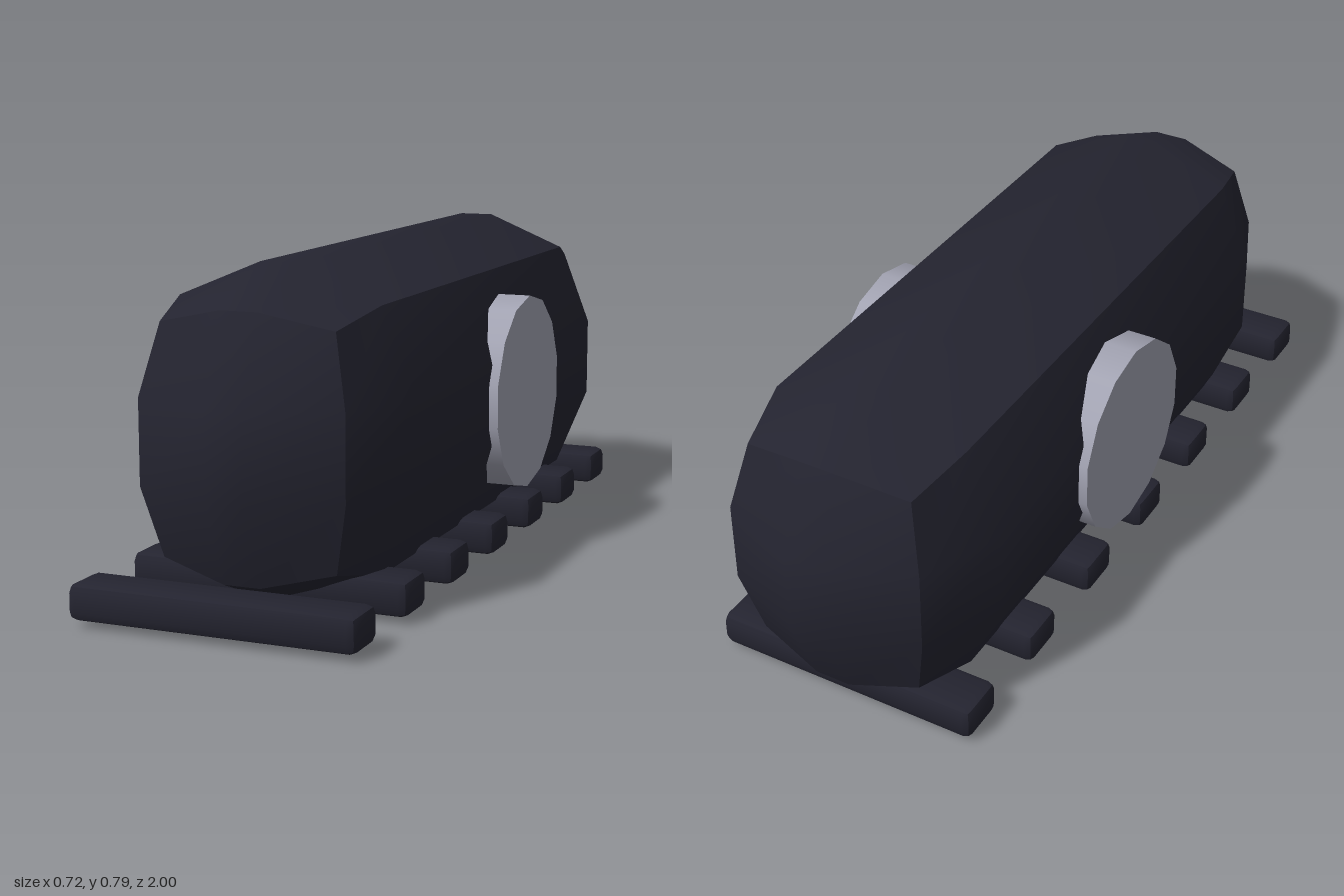
import * as THREE from 'three';
import { toCreasedNormals } from 'three/addons/utils/BufferGeometryUtils.js';
import { RoundedBoxGeometry } from 'three/addons/geometries/RoundedBoxGeometry.js';

// Box with one-segment rounded edges, kept sharp along the middle of each bevel
function bevelBox(width, height, depth, radius) {
  return toCreasedNormals(new RoundedBoxGeometry(width, height, depth, 1, radius), 0.6);
}

export function createModel() {
  const model = new THREE.Group();
  const dark = new THREE.MeshStandardMaterial({ color: 0x242430 });
  dark.name = 'dark shell';
  const silver = new THREE.MeshStandardMaterial({ color: 0xa2a3b2 });
  silver.name = 'silver';

  const add = (name, geometry, material, x, y, z) => {
    const mesh = new THREE.Mesh(geometry, material);
    mesh.name = name;
    mesh.position.set(x, y, z);
    model.add(mesh);
  };

  // Long rounded body
  add('body', bevelBox(0.674, 0.787, 1.914, 0.292), dark, 0, 0.394, -0.045);

  // Drum running through the body, showing as a disc on each side
  const drum = new THREE.CylinderGeometry(0.247, 0.247, 0.72, 14, 1, false, Math.PI / 2);
  drum.rotateZ(Math.PI / 2);
  add('sideDrum', drum, silver, 0, 0.395, -0.102);

  // Evenly spaced cross bars underneath
  const bar = bevelBox(0.694, 0.087, 0.13, 0.022);
  for (let i = 0; i < 7; i++) {
    add(`crossBar${i + 1}`, bar, dark, 0, 0.058, 0.935 - i * 0.2917);
  }
  return model;
}
